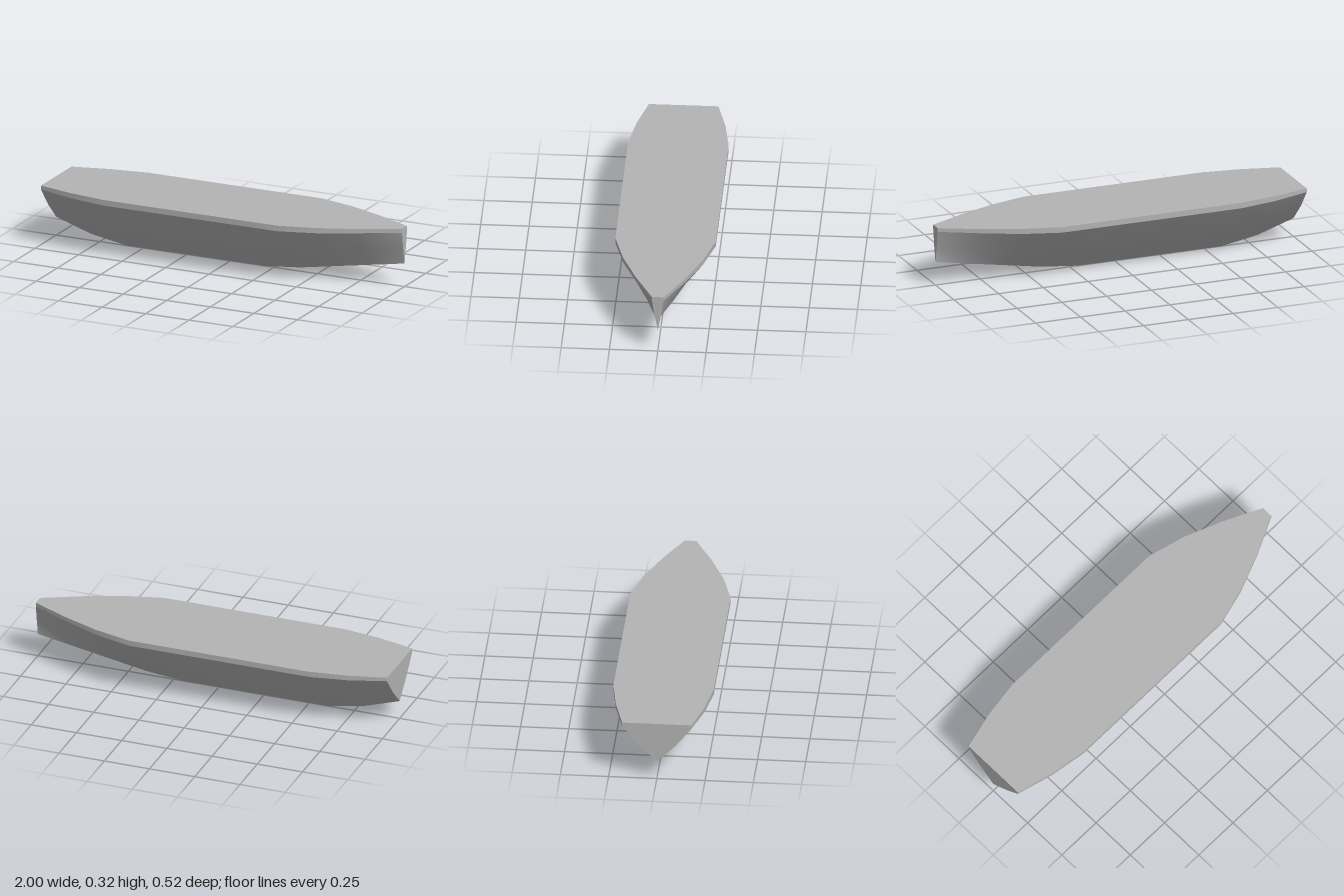
import * as THREE from 'three';

const DECK_Y = 0.32;

// Hull stations: x, half beam, keel height, chine height
const STATIONS = [
  [-1, 0.18, 0.1, 0.3],
  [-0.8, 0.23, 0.035, 0.293],
  [-0.6, 0.26, 0, 0.29],
  [-0.2, 0.26, 0, 0.29],
  [0.2, 0.26, 0, 0.29],
  [0.4, 0.26, 0.02, 0.29],
  [0.6, 0.207, 0.055, 0.292],
  [0.8, 0.127, 0.09, 0.297],
  [1, 0.03, 0.125, 0.3],
];

// Half section from keel to deck edge on one side (+1 or -1 in z)
function section([x, beam, keel, chine], side) {
  return [
    [x, keel, 0],
    [x, (keel + chine) / 2, side * beam * 0.56],
    [x, chine, side * beam],
    [x, DECK_Y, side * beam],
  ];
}

// Smooth surface through rows of points
function patch(name, rows, material, flip = false) {
  const n = rows[0].length;
  const index = [];
  for (let i = 0; i < rows.length - 1; i++) {
    for (let j = 0; j < n - 1; j++) {
      const a = i * n + j, b = a + n, c = b + 1, d = a + 1;
      if (flip) index.push(a, c, b, a, d, c);
      else index.push(a, b, c, a, c, d);
    }
  }
  const geometry = new THREE.BufferGeometry();
  geometry.setAttribute('position', new THREE.Float32BufferAttribute(rows.flat(2), 3));
  geometry.setIndex(index);
  geometry.computeVertexNormals();
  const mesh = new THREE.Mesh(geometry, material);
  mesh.name = name;
  return mesh;
}

export function createModel() {
  const group = new THREE.Group();
  group.name = 'boatHull';
  const grey = new THREE.MeshStandardMaterial({ color: 0xb3b3b3 });
  grey.name = 'hull grey';

  // Curved bottom and upright rim, mirrored front to back
  for (const side of [1, -1]) {
    const label = side > 0 ? 'Front' : 'Back';
    const rows = STATIONS.map((s) => section(s, side));
    group.add(patch('hullBottom' + label, rows.map((r) => r.slice(0, 3)), grey, side < 0));
    group.add(patch('rim' + label, rows.map((r) => r.slice(2)), grey, side < 0));
  }

  // Flat deck
  const deckRows = STATIONS.map(([x, beam]) => [[x, DECK_Y, beam], [x, DECK_Y, -beam]]);
  group.add(patch('deck', deckRows, grey));

  // Flat end faces
  const bow = STATIONS[STATIONS.length - 1], stern = STATIONS[0];
  group.add(patch('bowFace', [section(bow, 1), section(bow, -1)], grey));
  group.add(patch('transom', [section(stern, -1), section(stern, 1)], grey));

  return group;
}
